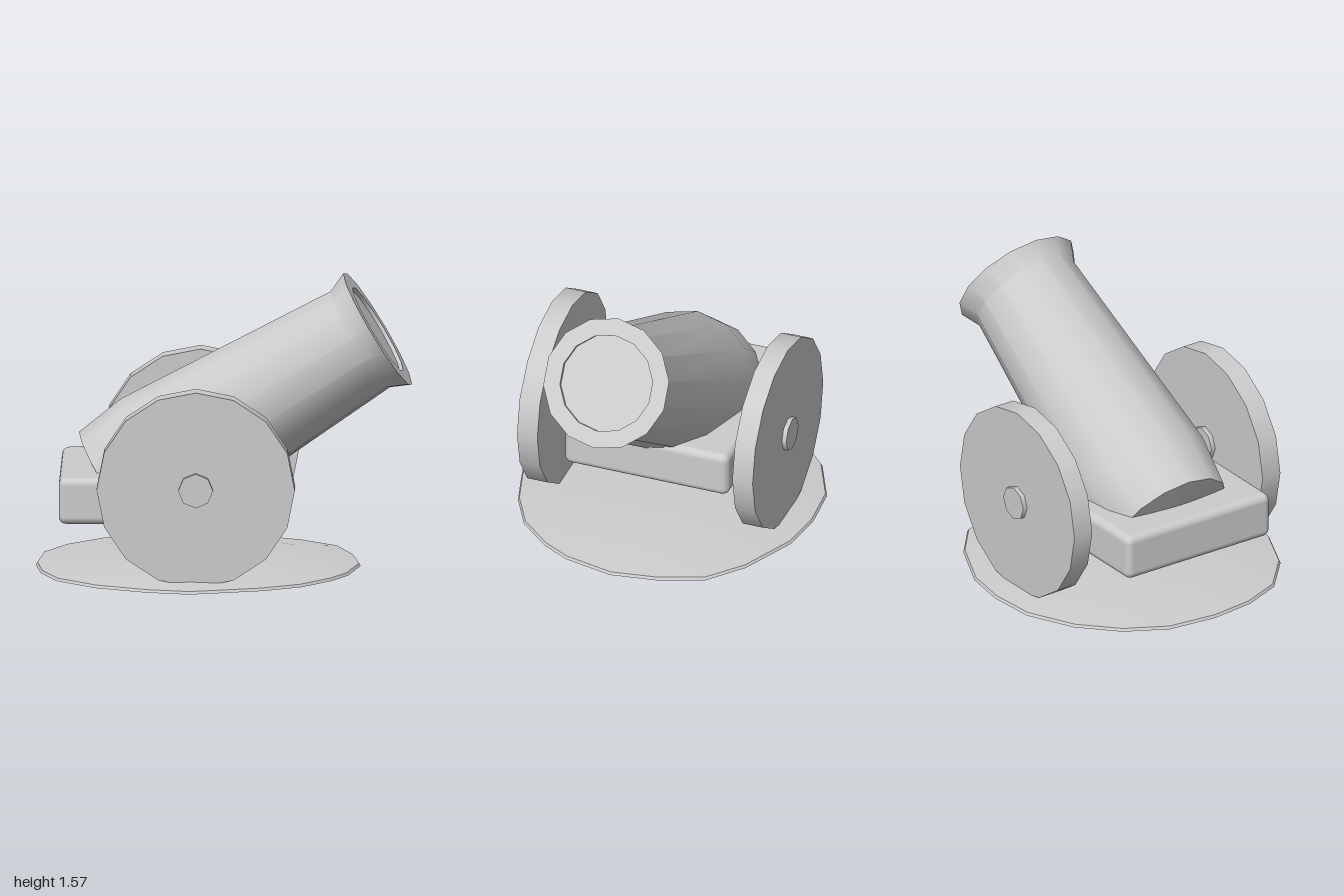
import * as THREE from 'three';
import { toCreasedNormals } from 'three/addons/utils/BufferGeometryUtils.js';
import { RoundedBoxGeometry } from 'three/addons/geometries/RoundedBoxGeometry.js';

export function createModel() {
  const model = new THREE.Group();
  model.name = 'cannon';
  const grey = new THREE.MeshStandardMaterial({ color: 0xcccccc });
  grey.name = 'plain grey';
  const midZ = -0.015;

  function add(name, geometry, x, y, z) {
    const mesh = new THREE.Mesh(geometry, grey);
    mesh.name = name;
    mesh.position.set(x, y, z);
    model.add(mesh);
    return mesh;
  }

  // Barrel: 14-sided, turned about its axis, with the muzzle at local y = 0
  const profile = [
    [0, -1.69], [0.345, -1.643], [0.383, -1.357], [0.302, -0.108],
    [0.35, 0], [0.258, 0], [0.258, -0.02], [0, -0.02],
  ].map(([r, y]) => new THREE.Vector2(r, y));
  const barrel = add('barrel',
    toCreasedNormals(new THREE.LatheGeometry(profile, 14, Math.PI / 2), 0.6),
    0.81, 1.275, midZ);
  barrel.rotation.z = -THREE.MathUtils.degToRad(58.6);

  // Carriage block under the breech
  add('carriage', new RoundedBoxGeometry(1.1, 0.25, 0.93, 3, 0.04), -0.32, 0.425, midZ);

  // A solid wheel with a hub on each side
  for (const [side, label] of [[1, 'front'], [-1, 'back']]) {
    const z = midZ + side * 0.61;
    const wheel = add(label + 'Wheel', new THREE.CylinderGeometry(0.525, 0.525, 0.115, 16), -0.14, 0.53, z);
    const hub = add(label + 'Hub', new THREE.CylinderGeometry(0.092, 0.092, 0.165, 8), -0.14, 0.53, z);
    wheel.rotation.x = hub.rotation.x = Math.PI / 2;
  }

  // Ground mound: an uneven outline lofted inwards to a low dome
  const outline = [
    [-1, 0], [-0.97, 0.24], [-0.88, 0.46], [-0.67, 0.65], [-0.4, 0.77], [-0.17, 0.82],
    [0.05, 0.76], [0.22, 0.71], [0.42, 0.6], [0.58, 0.42], [0.66, 0.27], [0.72, 0],
    [0.68, -0.25], [0.59, -0.49], [0.4, -0.65], [0.1, -0.79], [-0.14, -0.825],
    [-0.4, -0.805], [-0.66, -0.68], [-0.85, -0.5], [-0.97, -0.28],
  ];
  const rings = [[0, 0], [1, 0], [0.99, 0.015], [0.68, 0.047], [0.3, 0.06], [0, 0.062]];
  const n = outline.length;
  const positions = [];
  const index = [];
  rings.forEach(([scale, y], k) => {
    outline.forEach(([x, z], i) => {
      positions.push((x + 0.14) * scale, y, z * scale);
      if (k === 0) return;
      const j = (i + 1) % n;
      const a = (k - 1) * n + i, b = (k - 1) * n + j;
      const c = k * n + i, d = k * n + j;
      if (k > 1) index.push(a, b, d);
      if (k < rings.length - 1) index.push(a, d, c);
    });
  });
  const mound = new THREE.BufferGeometry();
  mound.setAttribute('position', new THREE.Float32BufferAttribute(positions, 3));
  mound.setIndex(index);
  add('groundMound', toCreasedNormals(mound, 0.6), -0.14, 0, 0);

  return model;
}
